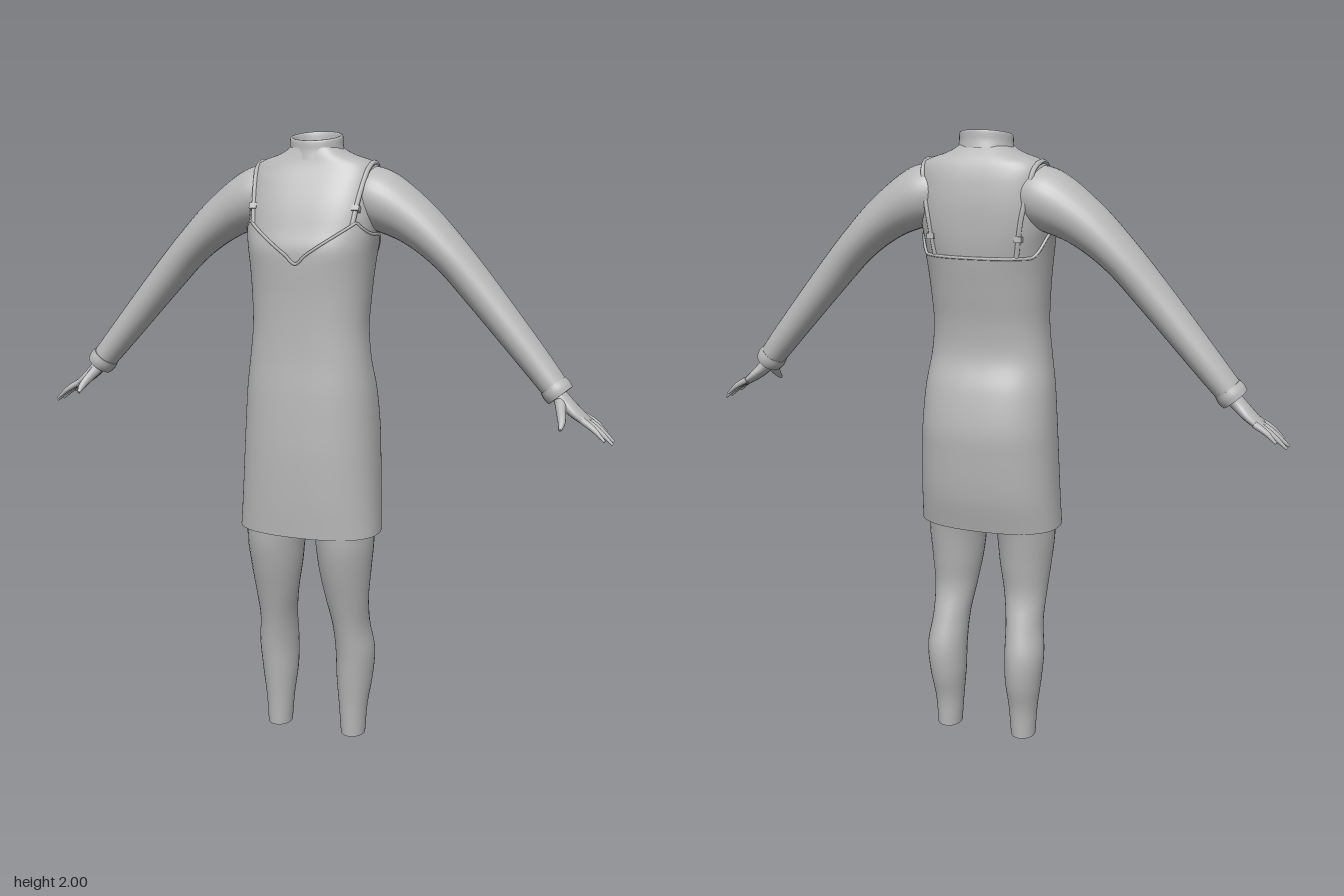
import * as THREE from 'three';

const grey = new THREE.MeshStandardMaterial({ color: 0xb8b8b8, side: THREE.DoubleSide });
grey.name = 'plain grey';

// Smooth interpolation of rows [key, a, b, ...] at a given key
function sample(rows, k) {
  let i = 0;
  while (i < rows.length - 2 && k > rows[i + 1][0]) i++;
  const p = rows[i], q = rows[i + 1];
  const o = rows[i - 1] || p, r = rows[i + 2] || q;
  const h = q[0] - p[0], t = (k - p[0]) / h, t2 = t * t, t3 = t2 * t;
  return p.slice(1).map((a, n) => {
    const c = n + 1, b = q[c];
    const m0 = (b - o[c]) / (q[0] - o[0]) * h, m1 = (r[c] - a) / (r[0] - p[0]) * h;
    return (2 * t3 - 3 * t2 + 1) * a + (t3 - 2 * t2 + t) * m0 + (3 * t2 - 2 * t3) * b + (t3 - t2) * m1;
  });
}

// Closed-ring surface from fn(angle, v); optional end caps
function surface(fn, nu, nv, capStart, capEnd) {
  const pos = [], idx = [];
  for (let j = 0; j <= nv; j++)
    for (let i = 0; i < nu; i++) pos.push(...fn(i / nu * Math.PI * 2, j / nv));
  for (let j = 0; j < nv; j++)
    for (let i = 0; i < nu; i++) {
      const a = j * nu + i, b = j * nu + (i + 1) % nu;
      idx.push(a, a + nu, b, b, a + nu, b + nu);
    }
  const cap = (j, flip) => {
    const base = pos.length / 3, mid = [0, 0, 0];
    for (let i = 0; i < nu; i++) {
      const p = pos.slice((j * nu + i) * 3, (j * nu + i) * 3 + 3);
      pos.push(...p);
      p.forEach((v, n) => { mid[n] += v / nu; });
    }
    pos.push(...mid);
    for (let i = 0; i < nu; i++) {
      const a = base + i, b = base + (i + 1) % nu;
      idx.push(...(flip ? [b, a, base + nu] : [a, b, base + nu]));
    }
  };
  if (capStart) cap(0, false);
  if (capEnd) cap(nv, true);
  const g = new THREE.BufferGeometry();
  g.setAttribute('position', new THREE.Float32BufferAttribute(pos, 3));
  g.setIndex(idx);
  g.computeVertexNormals();
  return g;
}

// Limb through points [x, y, z, thickness radius, width radius]
function limb(points, nu = 24, nv = 30) {
  const rows = points.map((p, i) => [i / (points.length - 1), ...p]);
  const at = t => new THREE.Vector3(...sample(rows, t).slice(0, 3));
  return surface((th, v) => {
    const s = sample(rows, v);
    const D = at(Math.min(v + 0.02, 1)).sub(at(Math.max(v - 0.02, 0))).normalize();
    const B = new THREE.Vector3(0, 0, 1);
    B.addScaledVector(D, -D.z).normalize();
    const N = D.clone().cross(B);
    return at(v).addScaledVector(N, Math.cos(th) * s[3]).addScaledVector(B, Math.sin(th) * s[4]).toArray();
  }, nu, nv, true, true);
}

function mirrored(g) {
  const m = g.clone().scale(-1, 1, 1), ix = m.index.array;
  for (let i = 0; i < ix.length; i += 3) [ix[i], ix[i + 1]] = [ix[i + 1], ix[i]];
  m.computeVertexNormals();
  return m;
}

// Trunk profile: height, half width, front z, back z
const trunk = [
  [0.735, 0.229, 0.16, -0.117], [0.85, 0.223, 0.166, -0.145], [1.0, 0.216, 0.168, -0.161],
  [1.08, 0.212, 0.166, -0.163], [1.2, 0.203, 0.16, -0.142], [1.3, 0.189, 0.152, -0.11],
  [1.4, 0.18, 0.149, -0.112], [1.5, 0.184, 0.15, -0.13], [1.6, 0.192, 0.155, -0.15],
  [1.65, 0.197, 0.154, -0.158], [1.7, 0.203, 0.138, -0.162], [1.78, 0.205, 0.112, -0.163],
  [1.85, 0.202, 0.08, -0.155], [1.885, 0.196, 0.06, -0.146], [1.905, 0.182, 0.051, -0.138],
  [1.918, 0.15, 0.047, -0.13], [1.93, 0.11, 0.044, -0.12], [1.95, 0.08, 0.038, -0.1],
];
const squareness = y => 2.4 + 0.4 * THREE.MathUtils.smoothstep(y, 1.55, 1.75);
const power = (c, e) => Math.sign(c) * Math.abs(c) ** e;
function trunkPoint(th, y, off) {
  const [w, f, b] = sample(trunk, y), e = 2 / squareness(y);
  return [(w + off) * power(Math.cos(th), e), y, (f + b) / 2 + ((f - b) / 2 + off) * power(Math.sin(th), e)];
}
function trunkZ(x, y, side) {
  const [w, f, b] = sample(trunk, y), n = squareness(y);
  return (f + b) / 2 + side * (f - b) / 2 * Math.max(0, 1 - (x / w) ** n) ** (1 / n);
}

// Upper edge of the dress: V in front, straight across the back
function dressTop(th) {
  const x = 0.2 * Math.abs(Math.cos(th)) ** 0.75, s = Math.sin(th);
  if (s < 0) return THREE.MathUtils.lerp(1.69, 1.62, THREE.MathUtils.smoothstep(-s, 0, 0.6));
  return x < 0.165 ? 1.605 + 0.75 * x : 1.729 - (x - 0.165) * 1.1;
}

export function createModel() {
  const model = new THREE.Group();
  const add = (name, g) => {
    const m = new THREE.Mesh(g, grey);
    m.name = name;
    model.add(m);
    return m;
  };
  const pair = (name, g) => {
    add(name + 'Left', g);
    add(name + 'Right', mirrored(g));
  };

  // Shirt body, slimmer where the dress covers it
  add('shirt', surface((th, v) => {
    const y = 0.86 + 1.09 * v;
    return trunkPoint(th, y, -0.012 * (1 - THREE.MathUtils.smoothstep(y, 1.5, 1.6)));
  }, 64, 90, true, false));

  // Rolled collar, tilted forward, with an inner wall and floor
  const collar = [[0, 0.09, 0.08, 1.93], [0.3, 0.085, 0.074, 1.955], [0.55, 0.083, 0.071, 1.982],
    [0.65, 0.076, 0.065, 1.983], [0.8, 0.072, 0.061, 1.96], [1, 0.07, 0.06, 1.925]];
  add('collar', surface((th, v) => {
    const [rx, rz, y] = sample(collar, v), z = rz * Math.sin(th);
    return [rx * Math.cos(th), y - 0.2 * z, z - 0.03];
  }, 40, 24, false, true));

  // Dress and the trim round its upper edge
  add('dress', surface((th, v) => trunkPoint(th, 0.735 + (dressTop(th) - 0.735) * v, 0.006), 96, 50));
  const edge = [];
  for (let i = 0; i < 64; i++) {
    const th = i / 64 * Math.PI * 2;
    edge.push(new THREE.Vector3(...trunkPoint(th, dressTop(th), 0.004)));
  }
  add('neckline', new THREE.TubeGeometry(new THREE.CatmullRomCurve3(edge, true), 160, 0.005, 6, true));

  // Shoulder straps with sliders
  const strapPath = [[0.162, 1.72, 1], [0.17, 1.79, 1], [0.178, 1.85, 1], [0.183, 1.885, 1], [0.184, 1.905, 0],
    [0.178, 1.885, -1], [0.168, 1.83, -1], [0.15, 1.74, -1], [0.132, 1.62, -1]]
    .map(([x, y, s]) => new THREE.Vector3(x, y, s ? trunkZ(x, y, s) : -0.045));
  pair('strap', new THREE.TubeGeometry(new THREE.CatmullRomCurve3(strapPath), 60, 0.008, 8));
  for (const [y, x, s, tilt] of [[1.77, 0.168, 1, -0.5], [1.68, 0.141, -1, 0.05]]) {
    const g = new THREE.BoxGeometry(0.024, 0.018, 0.02);
    g.rotateX(tilt).translate(x, y, trunkZ(x, y, s));
    pair(s > 0 ? 'frontSlider' : 'backSlider', g);
  }

  // Sleeves and cuffs
  pair('sleeve', limb([
    [0.12, 1.82, -0.045, 0.075, 0.085], [0.2, 1.795, -0.045, 0.094, 0.104], [0.32, 1.728, -0.045, 0.075, 0.092],
    [0.43, 1.635, -0.042, 0.06, 0.08], [0.54, 1.515, -0.038, 0.055, 0.066], [0.7, 1.33, -0.032, 0.047, 0.055],
    [0.785, 1.23, -0.025, 0.041, 0.05],
  ], 32, 48));
  pair('cuff', limb([[0.768, 1.25, -0.025, 0.044, 0.053], [0.781, 1.234, -0.024, 0.047, 0.055],
    [0.793, 1.22, -0.023, 0.044, 0.052]], 32, 8));

  // Hands
  pair('palm', limb([[0.77, 1.24, -0.025, 0.024, 0.031], [0.805, 1.204, -0.022, 0.022, 0.036],
    [0.84, 1.172, -0.025, 0.018, 0.045], [0.88, 1.142, -0.029, 0.011, 0.043]], 20, 14));
  const fingers = [[0.004, 0.938, 1.098, 0.026], [-0.018, 0.958, 1.084, -0.006],
    [-0.043, 0.956, 1.085, -0.043], [-0.064, 0.928, 1.107, -0.075]];
  fingers.forEach(([z, x, y, tipZ], i) => pair('finger' + (i + 1), limb([
    [0.86, 1.157, z, 0.011, 0.012],
    [(0.86 + x) / 2 + 0.003, (1.157 + y) / 2 + 0.003, (z + tipZ) / 2, 0.009, 0.0105],
    [x, y, tipZ, 0.004, 0.005],
  ], 10, 10)));
  pair('thumb', limb([[0.795, 1.205, -0.005, 0.018, 0.02], [0.808, 1.175, 0.042, 0.014, 0.016],
    [0.815, 1.155, 0.07, 0.011, 0.011], [0.815, 1.138, 0.092, 0.005, 0.005]], 12, 14));

  // Legs: height, inner x, outer x, front z, back z
  const leg = [
    [0, 0.093, 0.174, 0.016, -0.082], [0.1, 0.085, 0.181, 0.021, -0.09], [0.2, 0.075, 0.195, 0.031, -0.115],
    [0.3, 0.073, 0.202, 0.043, -0.122], [0.4, 0.069, 0.191, 0.062, -0.096], [0.5, 0.053, 0.195, 0.09, -0.07],
    [0.6, 0.036, 0.205, 0.12, -0.08], [0.7, 0.026, 0.213, 0.143, -0.096], [0.82, 0.012, 0.21, 0.15, -0.12],
    [0.95, 0.005, 0.19, 0.14, -0.13],
  ];
  pair('leg', surface((th, v) => {
    const y = 0.95 * v, [i, o, f, b] = sample(leg, y);
    return [(i + o) / 2 + (o - i) / 2 * Math.cos(th), y, (f + b) / 2 + (f - b) / 2 * Math.sin(th)];
  }, 32, 40, true, true));

  return model;
}
